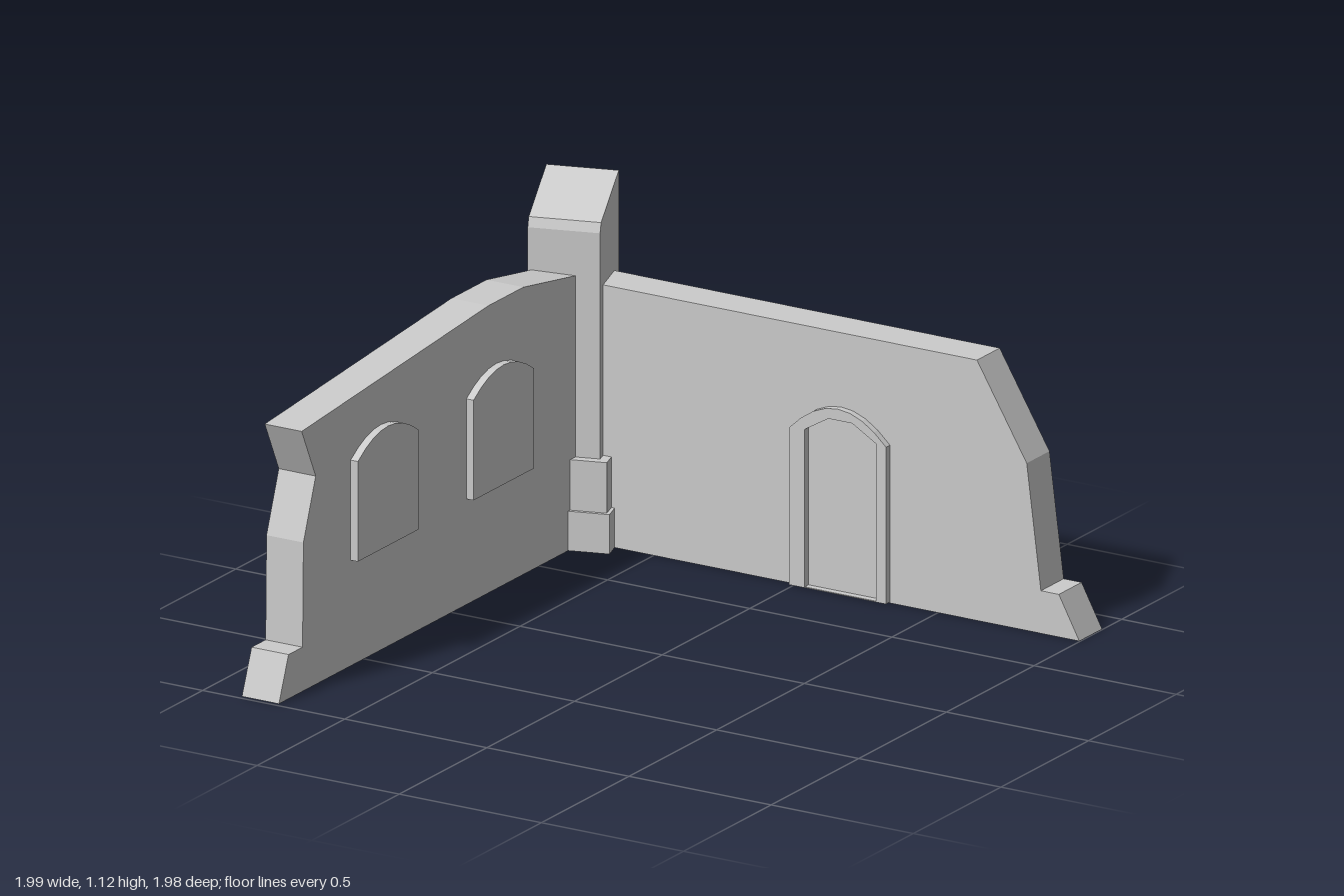
import * as THREE from 'three';

const material = new THREE.MeshStandardMaterial({ color: 0xcccccc, flatShading: true });

// Closed shape from [x, y] points
const polygon = (pts) => new THREE.Shape(pts.map(([x, y]) => new THREE.Vector2(x, y)));

// Outline with straight sides and a shallow arched head
function archPoints(cx, width, bottom, spring, top, segments) {
  const h = width / 2;
  const pts = [[cx - h, bottom], [cx + h, bottom]];
  for (let i = 0; i <= segments; i++) {
    const t = 1 - (2 * i) / segments;
    pts.push([cx + h * t, spring + (top - spring) * (1 - t * t)]);
  }
  return pts;
}

// Slab extruded evenly to both sides of its own plane
function slab(name, shape, depth) {
  const geometry = new THREE.ExtrudeGeometry(shape, { depth, bevelEnabled: false });
  geometry.translate(0, 0, -depth / 2);
  const mesh = new THREE.Mesh(geometry, material);
  mesh.name = name;
  return mesh;
}

function box(name, w, h, y) {
  const mesh = new THREE.Mesh(new THREE.BoxGeometry(w, h, w), material);
  mesh.name = name;
  mesh.position.y = y + h / 2;
  return mesh;
}

export function createModel() {
  const model = new THREE.Group();
  model.name = 'ruinedCorner';

  // Rear wall with its broken end and arched door
  const rear = new THREE.Group();
  rear.name = 'rearWall';
  rear.position.z = -0.828;
  rear.add(slab('rearWallSlab', polygon([
    [-0.8, 0], [0.997, 0], [0.925, 0.135], [0.862, 0.135],
    [0.812, 0.53], [0.637, 0.825], [-0.8, 0.825],
  ]), 0.13));

  const frame = polygon(archPoints(0.16, 0.342, 0.003, 0.5, 0.59, 8));
  const opening = archPoints(0.17, 0.25, 0.006, 0.505, 0.56, 3);
  frame.holes.push(new THREE.Path(opening.map(([x, y]) => new THREE.Vector2(x, y))));
  rear.add(slab('doorFrame', frame, 0.175));

  // Door panel sits recessed at the front, nearly flush at the rear
  const panel = slab('doorPanel', polygon(opening), 0.15);
  panel.position.z = -0.011;
  rear.add(panel);
  model.add(rear);

  // Side wall, drawn in the z-y plane, with two blind windows
  const side = new THREE.Group();
  side.name = 'sideWall';
  side.position.x = -0.806;
  side.rotation.y = -Math.PI / 2;
  side.add(slab('sideWallSlab', polygon([
    [-0.8, 0], [0.985, 0], [0.93, 0.14], [0.85, 0.14], [0.845, 0.47],
    [0.775, 0.66], [0.855, 0.825], [-0.21, 0.91], [-0.41, 0.91], [-0.8, 0.843],
  ]), 0.13));
  for (const z of [-0.257, 0.403]) {
    side.add(slab('window', polygon(archPoints(z, 0.345, 0.335, 0.652, 0.714, 8)), 0.181));
  }
  model.add(side);

  // Corner pillar, turned slightly, with stepped base and sloped top
  const pillar = new THREE.Group();
  pillar.name = 'pillar';
  pillar.position.set(-0.808, 0, -0.803);
  pillar.rotation.y = 0.3;
  pillar.add(box('pillarPlinth', 0.302, 0.125, 0), box('pillarBase', 0.28, 0.16, 0.125));
  const shaft = slab('pillarShaft', polygon([
    [-0.112, 0.28], [0.112, 0.28], [0.112, 1.0], [0.1, 1.03], [-0.112, 1.125],
  ]), 0.224);
  shaft.rotation.y = -Math.PI / 2;
  pillar.add(shaft);
  model.add(pillar);

  return model;
}
